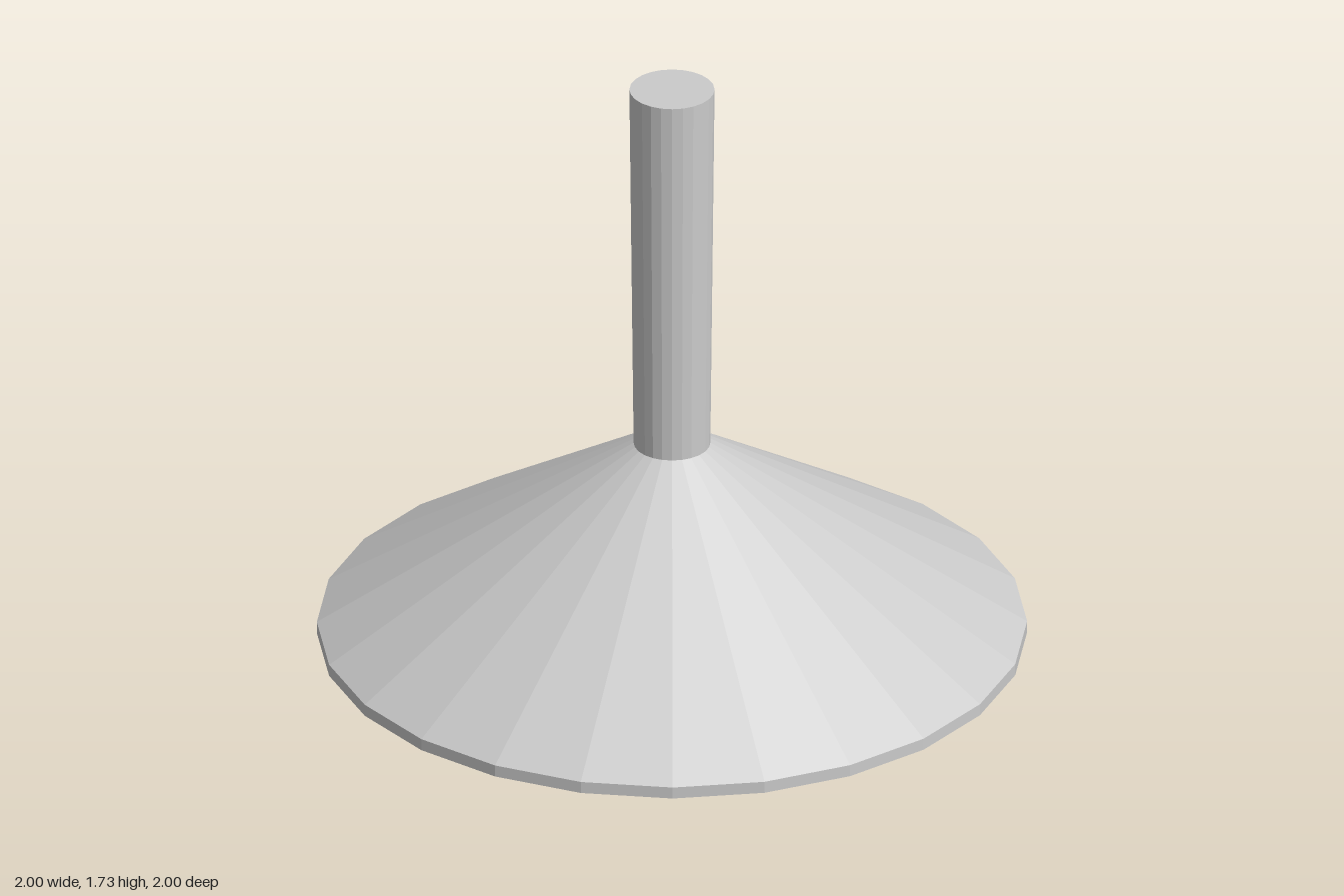
import * as THREE from 'three';

const SIDES = 24;

export function createModel() {
  const group = new THREE.Group();
  const faceted = new THREE.MeshStandardMaterial({ color: 0xcccccc, flatShading: true });
  const smooth = new THREE.MeshStandardMaterial({ color: 0xcccccc });

  const add = (name, geometry, material, y = 0) => {
    const mesh = new THREE.Mesh(geometry, material);
    mesh.name = name;
    mesh.position.y = y;
    group.add(mesh);
    return mesh;
  };

  // Conical shade: inner ceiling, inner wall, short vertical rim, outer wall
  const profile = [[0, 0.57], [0.11, 0.57], [1, 0], [1, 0.035], [0.108, 0.605], [0, 0.605]]
    .map(([r, y]) => new THREE.Vector2(r, y));
  add('shade', new THREE.LatheGeometry(profile, SIDES), faceted);

  // Stem, slightly wider at the top
  const bottom = 0.6, top = 1.73;
  add('stem', new THREE.CylinderGeometry(0.12, 0.108, top - bottom, SIDES), faceted, (top + bottom) / 2);

  // Flattened bulb under the shade
  const bulb = add('bulb', new THREE.SphereGeometry(0.515, 48, 24), smooth, 0.235);
  bulb.scale.y = 0.4;

  return group;
}
